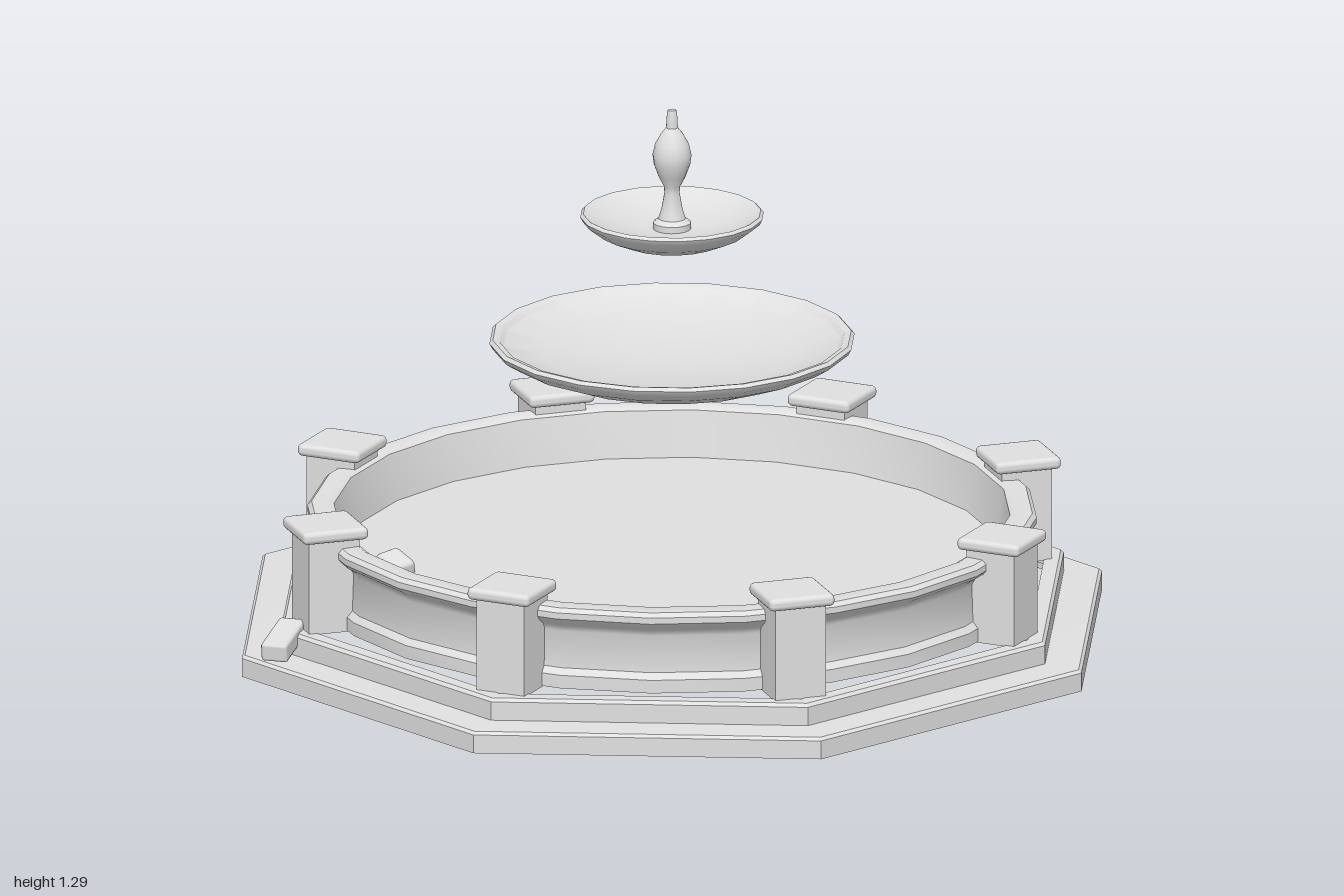
import * as THREE from 'three';
import { toCreasedNormals } from 'three/addons/utils/BufferGeometryUtils.js';
import { RoundedBoxGeometry } from 'three/addons/geometries/RoundedBoxGeometry.js';

export function createModel() {
  const model = new THREE.Group();
  model.name = 'fountain';

  // the steps and the basin are open shells underneath
  const stone = new THREE.MeshStandardMaterial({ color: 0xe0e0e0, side: THREE.DoubleSide });
  stone.name = 'pale stone';

  // the fountain's axis sits slightly off centre, balancing the fallen slab
  const axisX = 0.008;

  function add(name, geometry, parent = model) {
    const mesh = new THREE.Mesh(geometry, stone);
    mesh.name = name;
    parent.add(mesh);
    return mesh;
  }

  // turned part from [radius, height] pairs, keeping hard edges
  function addTurned(name, points, segments, start = 0, crease = 0.6) {
    const profile = points.map(([r, y]) => new THREE.Vector2(r, y));
    const geometry = new THREE.LatheGeometry(profile, segments, start);
    add(name, toCreasedNormals(geometry, crease)).position.x = axisX;
  }

  // two octagonal steps; radii are given to the middle of each side
  const corner = 1 / Math.cos(Math.PI / 8);
  const stepProfile = [
    [0.99, 0], [0.99, 0.045], [0.983, 0.052], [0.902, 0.055],
    [0.902, 0.1], [0.895, 0.108], [0.86, 0.108],
  ].map(([r, y]) => [r * corner, y]);
  addTurned('octagonalSteps', stepProfile, 8, Math.PI / 8, 0.3);

  // basin with plinth, moulded rim, sloping inner wall and raised floor
  addTurned('basin', [
    [0.838, 0.108], [0.838, 0.14], [0.825, 0.155], [0.822, 0.245],
    [0.83, 0.26], [0.852, 0.275], [0.86, 0.285], [0.86, 0.3], [0.85, 0.31],
    [0.81, 0.312], [0.797, 0.305], [0.775, 0.195], [0, 0.195],
  ], 24);

  // eight posts with overhanging caps, one at each corner
  for (let i = 0; i < 8; i++) {
    const angle = Math.PI / 8 + i * Math.PI / 4;
    const post = new THREE.Group();
    post.name = 'post' + (i + 1);
    post.position.set(0.863 * Math.sin(angle) + axisX, 0, 0.863 * Math.cos(angle));
    post.rotation.y = angle;
    model.add(post);
    add('postShaft', new THREE.BoxGeometry(0.125, 0.235, 0.125), post).position.y = 0.2225;
    add('postCap', new RoundedBoxGeometry(0.162, 0.03, 0.162, 2, 0.012), post).position.y = 0.346;
  }

  // floating lower and upper bowls
  addTurned('lowerBowl', [
    [0, 0.61], [0.1, 0.614], [0.2, 0.63], [0.3, 0.655], [0.39, 0.69], [0.425, 0.712],
    [0.432, 0.725], [0.424, 0.733], [0.408, 0.729], [0.398, 0.718], [0.3, 0.694],
    [0.2, 0.677], [0.1, 0.667], [0, 0.664],
  ], 20);

  addTurned('upperBowl', [
    [0, 0.948], [0.06, 0.952], [0.12, 0.966], [0.175, 0.99], [0.211, 1.018],
    [0.217, 1.03], [0.21, 1.037], [0.198, 1.031], [0.15, 1.012], [0.08, 0.999], [0, 0.994],
  ], 20);

  // finial standing in the upper bowl
  addTurned('finial', [
    [0.045, 0.994], [0.045, 1.012], [0.032, 1.022], [0.025, 1.045], [0.018, 1.085],
    [0.019, 1.1], [0.032, 1.125], [0.043, 1.155], [0.046, 1.178], [0.04, 1.205],
    [0.026, 1.23], [0.014, 1.245], [0.012, 1.28], [0.01, 1.288], [0, 1.288],
  ], 16);

  // broken fragments on the basin floor and on the steps
  const chip = add('floorFragment', new RoundedBoxGeometry(0.065, 0.045, 0.085, 1, 0.012));
  chip.position.set(-0.565, 0.207, -0.335);
  chip.rotation.set(0.2, -0.15, 0.2);

  const slab = add('stepFragment', new RoundedBoxGeometry(0.16, 0.045, 0.065, 1, 0.008));
  slab.position.set(-0.918, 0.095, -0.335);
  slab.rotation.set(0, 0.55, 0.14);

  return model;
}
